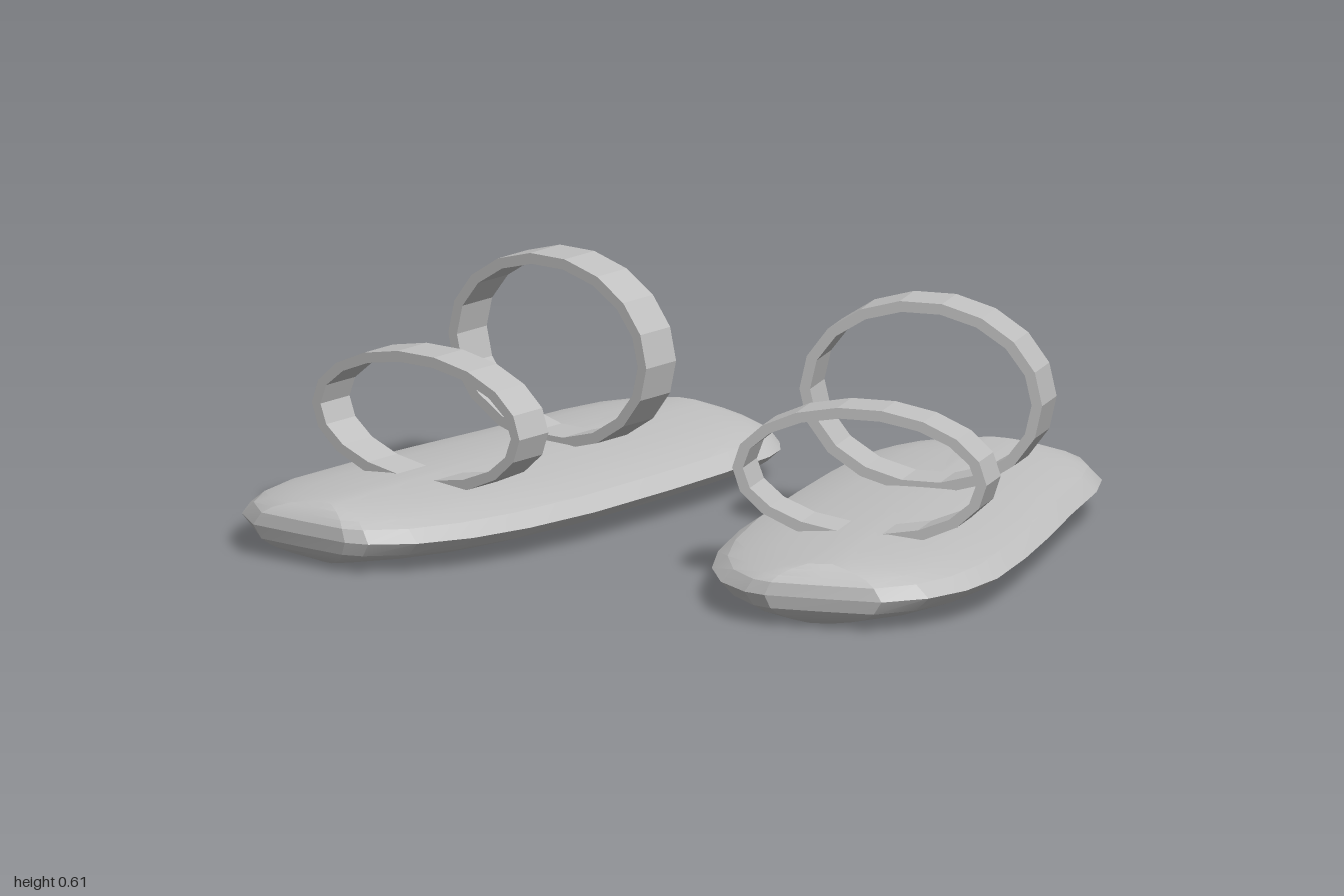
import * as THREE from 'three';
import { toCreasedNormals } from 'three/addons/utils/BufferGeometryUtils.js';

// Outline of the left sole as [across, along], from the toe round the outer side
const OUTLINE = [
  [-0.116, 0.766], [0.03, 0.763], [0.18, 0.755], [0.276, 0.68], [0.338, 0.57], [0.37, 0.424],
  [0.369, 0.2], [0.356, -0.016], [0.333, -0.275], [0.318, -0.521], [0.291, -0.648],
  [0.236, -0.735], [0.151, -0.77], [-0.062, -0.774], [-0.18, -0.76], [-0.263, -0.73],
  [-0.316, -0.668], [-0.344, -0.592], [-0.366, -0.39], [-0.378, -0.171], [-0.384, 0.133],
  [-0.365, 0.36], [-0.326, 0.53], [-0.26, 0.664], [-0.173, 0.746],
];

// Levels of the cushion: [height, width scale, length scale]
const LEVELS = [
  [0.002, 0.2, 0.92], [0.014, 0.5, 0.95], [0.028, 0.74, 0.975], [0.045, 0.88, 0.993],
  [0.078, 1, 1],
  [0.11, 0.88, 0.993], [0.126, 0.74, 0.975], [0.14, 0.5, 0.95], [0.15, 0.2, 0.92],
];

// Padded sole: stacked outline rings closed by a fan above and below
function soleGeometry(side) {
  const ring = side > 0 ? OUTLINE : OUTLINE.map(([u, v]) => [-u, v]).reverse();
  const n = ring.length;
  const pos = [];
  const index = [];
  for (const [y, su, sv] of LEVELS) {
    for (const [u, v] of ring) pos.push(u * su, y, v * sv);
  }
  const bottom = LEVELS.length * n;
  const top = bottom + 1;
  pos.push(0, 0, 0, 0, 0.151, 0);
  for (let i = 0; i < n; i++) {
    const j = (i + 1) % n;
    for (let k = 0; k < LEVELS.length - 1; k++) {
      const a = k * n, b = a + n;
      index.push(a + i, a + j, b + j, a + i, b + j, b + i);
    }
    const last = (LEVELS.length - 1) * n;
    index.push(bottom, j, i, top, last + i, last + j);
  }
  const geo = new THREE.BufferGeometry();
  geo.setAttribute('position', new THREE.Float32BufferAttribute(pos, 3));
  geo.setIndex(index);
  return toCreasedNormals(geo, 0.3);
}

// Oval band whose lowest part is sunk into the sole
function strapGeometry(rx, ry, width) {
  const thick = 0.027;
  const shape = new THREE.Shape().absellipse(0, 0, rx, ry, 0, Math.PI * 2, false);
  shape.holes.push(new THREE.Path().absellipse(0, 0, rx - thick, ry - thick, 0, Math.PI * 2, true));
  const geo = new THREE.ExtrudeGeometry(shape, { depth: width, bevelEnabled: false, curveSegments: 9 });
  geo.translate(0, 0, -width / 2);
  return geo;
}

export function createModel() {
  const model = new THREE.Group();
  model.name = 'sandals';
  const grey = new THREE.MeshStandardMaterial({ color: 0xc0c0c0 });
  grey.name = 'light grey';

  const part = (name, geo, parent, x = 0, y = 0, z = 0) => {
    const mesh = new THREE.Mesh(geo, grey);
    mesh.name = name;
    mesh.position.set(x, y, z);
    parent.add(mesh);
  };

  // Left and right sandals with the toes turned outward
  for (const side of [1, -1]) {
    const sandal = new THREE.Group();
    sandal.name = side > 0 ? 'leftSandal' : 'rightSandal';
    part('sole', soleGeometry(side), sandal);
    part('frontStrap', strapGeometry(0.325, 0.17, 0.112), sandal, -0.005 * side, 0.29, 0.3);
    part('backStrap', strapGeometry(0.31, 0.24, 0.115), sandal, -0.01 * side, 0.375, -0.203);
    sandal.position.x = 0.553 * side;
    sandal.rotation.y = 0.185 * side;
    model.add(sandal);
  }
  return model;
}
